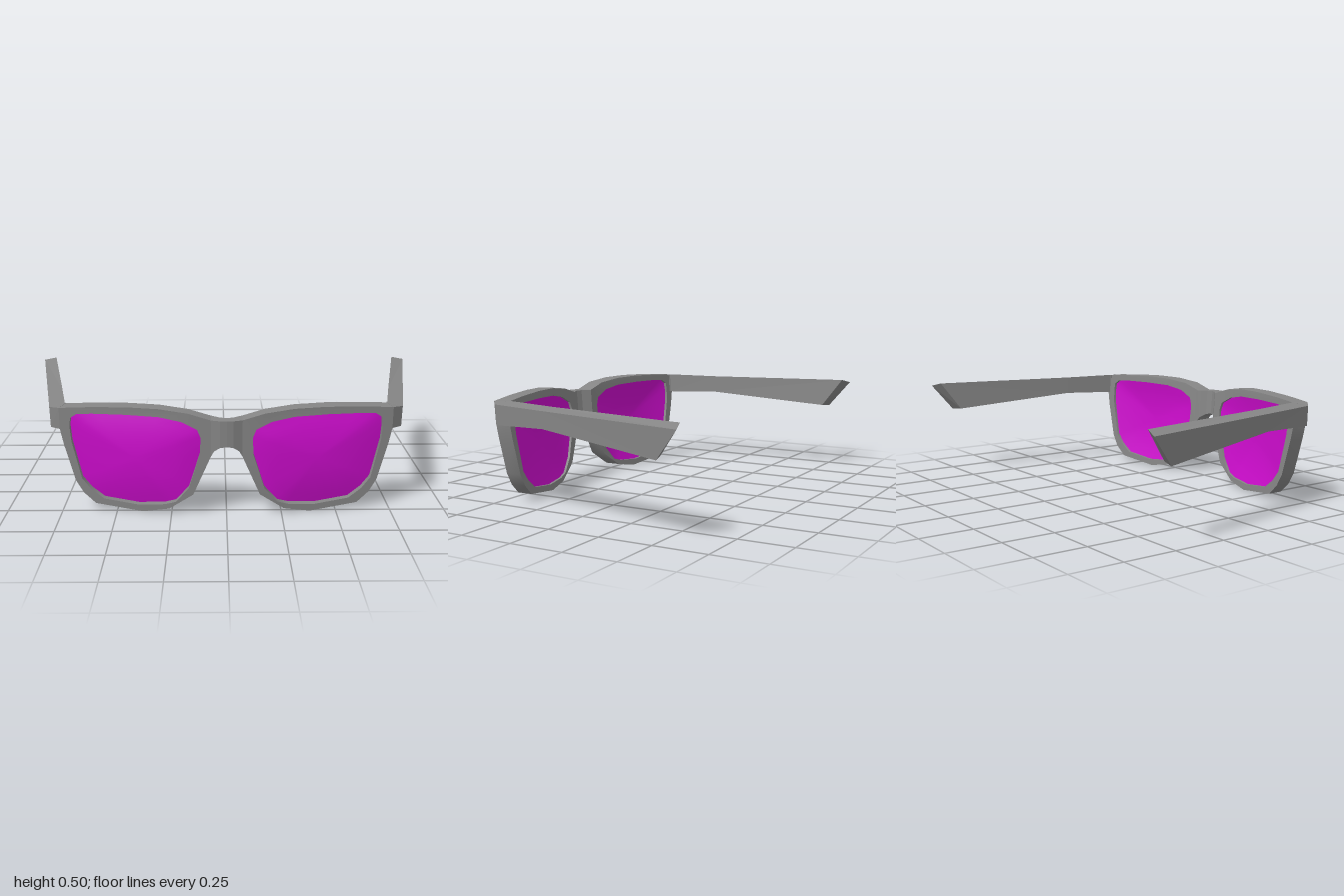
import * as THREE from 'three';
import { toCreasedNormals } from 'three/addons/utils/BufferGeometryUtils.js';

const frameGrey = new THREE.MeshStandardMaterial({ color: 0x868686 });
frameGrey.name = 'frame grey';
const lensMagenta = new THREE.MeshStandardMaterial({ color: 0xcc0ccc });
lensMagenta.name = 'lens magenta';

const DEPTH = 0.08;
const rake = (y) => (0.48 - y) * 0.07;
// Front face of the wrapped frame, leaning back towards the bottom
function frontZ(x, y) {
  const z = x < 0.18 ? 0.588 - (x - 0.07) * 0.045 : 0.583 - (x - 0.18) * 0.181;
  return z - rake(y);
}

// Half of the frame front, and the opening for its lens
const rimOutline = [
  [0.07, 0.455], [0.07, 0.285], [0.15, 0.1], [0.26, 0.025], [0.38, 0.003], [0.6, 0.03],
  [0.655, 0.08], [0.69, 0.14], [0.735, 0.31], [0.75, 0.385], [0.75, 0.485], [0.6, 0.496],
  [0.44, 0.502], [0.3, 0.5], [0.17, 0.485],
];
const lensOutline = [
  [0.705, 0.4], [0.7, 0.44], [0.67, 0.46], [0.6, 0.465], [0.45, 0.467], [0.3, 0.463],
  [0.2, 0.445], [0.13, 0.41], [0.115, 0.37], [0.12, 0.29], [0.17, 0.13], [0.23, 0.06],
  [0.28, 0.045], [0.4, 0.035], [0.56, 0.055], [0.62, 0.1], [0.66, 0.15], [0.7, 0.33],
];
const toPoints = (list) => list.map(([x, y]) => new THREE.Vector2(x, y));

function rimGeometry() {
  const shape = new THREE.Shape(toPoints(rimOutline));
  shape.holes.push(new THREE.Path(toPoints(lensOutline)));
  const geo = new THREE.ExtrudeGeometry(shape, { depth: 1, bevelEnabled: false });
  const p = geo.attributes.position;
  for (let i = 0; i < p.count; i++) {
    p.setZ(i, frontZ(p.getX(i), p.getY(i)) - DEPTH * (1 - p.getZ(i)));
  }
  return toCreasedNormals(geo, 0.6);
}

// Domed lens face made of rings shrinking to the centre
function lensGeometry(recess, facesBack) {
  const [cx, cy, rings, bulge] = [0.41, 0.26, 5, 0.028];
  const n = lensOutline.length;
  const pos = [];
  const index = [];
  const tri = (a, b, c) => (facesBack ? index.push(a, c, b) : index.push(a, b, c));
  const add = (x, y, t) => pos.push(x, y, frontZ(x, y) - recess + bulge * (1 - t * t));
  add(cx, cy, 0);
  for (let r = 1; r <= rings; r++) {
    const t = r / rings;
    lensOutline.forEach(([x, y]) => add(cx + (x - cx) * t, cy + (y - cy) * t, t));
  }
  for (let i = 0; i < n; i++) {
    const j = (i + 1) % n;
    tri(0, 1 + i, 1 + j);
    for (let r = 0; r < rings - 1; r++) {
      const a = 1 + r * n;
      const b = a + n;
      tri(a + i, b + i, b + j);
      tri(a + i, b + j, a + j);
    }
  }
  const geo = new THREE.BufferGeometry();
  geo.setAttribute('position', new THREE.Float32BufferAttribute(pos, 3));
  geo.setIndex(index);
  geo.computeVertexNormals();
  return geo.toNonIndexed();
}

// Flat-faced bar through four-cornered cross-sections
function loft(sections) {
  const pos = [];
  const tri = (a, b, c) => pos.push(...a, ...b, ...c);
  for (let s = 0; s < sections.length - 1; s++) {
    const a = sections[s];
    const b = sections[s + 1];
    for (let k = 0; k < 4; k++) {
      const m = (k + 1) % 4;
      tri(a[k], b[k], a[m]);
      tri(a[m], b[k], b[m]);
    }
  }
  const first = sections[0];
  const last = sections[sections.length - 1];
  tri(first[0], first[1], first[2]);
  tri(first[0], first[2], first[3]);
  tri(last[0], last[2], last[1]);
  tri(last[0], last[3], last[2]);
  const geo = new THREE.BufferGeometry();
  geo.setAttribute('position', new THREE.Float32BufferAttribute(pos, 3));
  geo.computeVertexNormals();
  return geo;
}

// Arched bridge: x, top, bottom, front, back
function bridgeGeometry() {
  const half = [
    [0.07, 0.455, 0.285, 0.588, 0.508],
    [0.055, 0.455, 0.312, 0.594, 0.52],
    [0.03, 0.455, 0.33, 0.604, 0.541],
    [0, 0.455, 0.335, 0.606, 0.55],
  ];
  const stations = [
    ...half.map(([x, ...rest]) => [-x, ...rest]),
    ...half.slice(0, 3).reverse(),
  ];
  return loft(stations.map(([x, top, bottom, front, back]) => [
    [x, top, front - rake(top)], [x, top, back - rake(top)],
    [x, bottom, back - rake(bottom)], [x, bottom, front - rake(bottom)],
  ]));
}

// Temple arm: outer top, inner top, inner bottom, outer bottom
function templeGeometry() {
  return loft([
    [[0.75, 0.485, 0.48], [0.73, 0.488, 0.4], [0.73, 0.385, 0.398], [0.75, 0.385, 0.473]],
    [[0.8, 0.477, 0.432], [0.735, 0.488, 0.396], [0.735, 0.388, 0.394], [0.797, 0.383, 0.432]],
    [[0.858, 0.474, 0.13], [0.787, 0.485, 0.13], [0.785, 0.396, 0.13], [0.855, 0.395, 0.13]],
    [[1, 0.469, -0.61], [0.932, 0.486, -0.588], [0.905, 0.343, -0.485], [0.973, 0.337, -0.503]],
  ]);
}

// Mirror to the other side, keeping faces outward
function mirrored(source) {
  const geo = source.clone().scale(-1, 1, 1);
  for (const name of ['position', 'normal']) {
    const a = geo.attributes[name];
    for (let i = 0; i < a.count; i += 3) {
      const b = [a.getX(i + 1), a.getY(i + 1), a.getZ(i + 1)];
      a.setXYZ(i + 1, a.getX(i + 2), a.getY(i + 2), a.getZ(i + 2));
      a.setXYZ(i + 2, ...b);
    }
  }
  return geo;
}

export function createModel() {
  const model = new THREE.Group();
  model.name = 'sunglasses';
  const add = (name, geo, material) => {
    const mesh = new THREE.Mesh(geo, material);
    mesh.name = name;
    model.add(mesh);
  };
  const addPair = (name, geo, material) => {
    add('left' + name, geo, material);
    add('right' + name, mirrored(geo), material);
  };
  add('bridge', bridgeGeometry(), frameGrey);
  addPair('Rim', rimGeometry(), frameGrey);
  addPair('Temple', templeGeometry(), frameGrey);
  addPair('LensFront', lensGeometry(0.035, false), lensMagenta);
  addPair('LensBack', lensGeometry(0.067, true), lensMagenta);
  return model;
}
